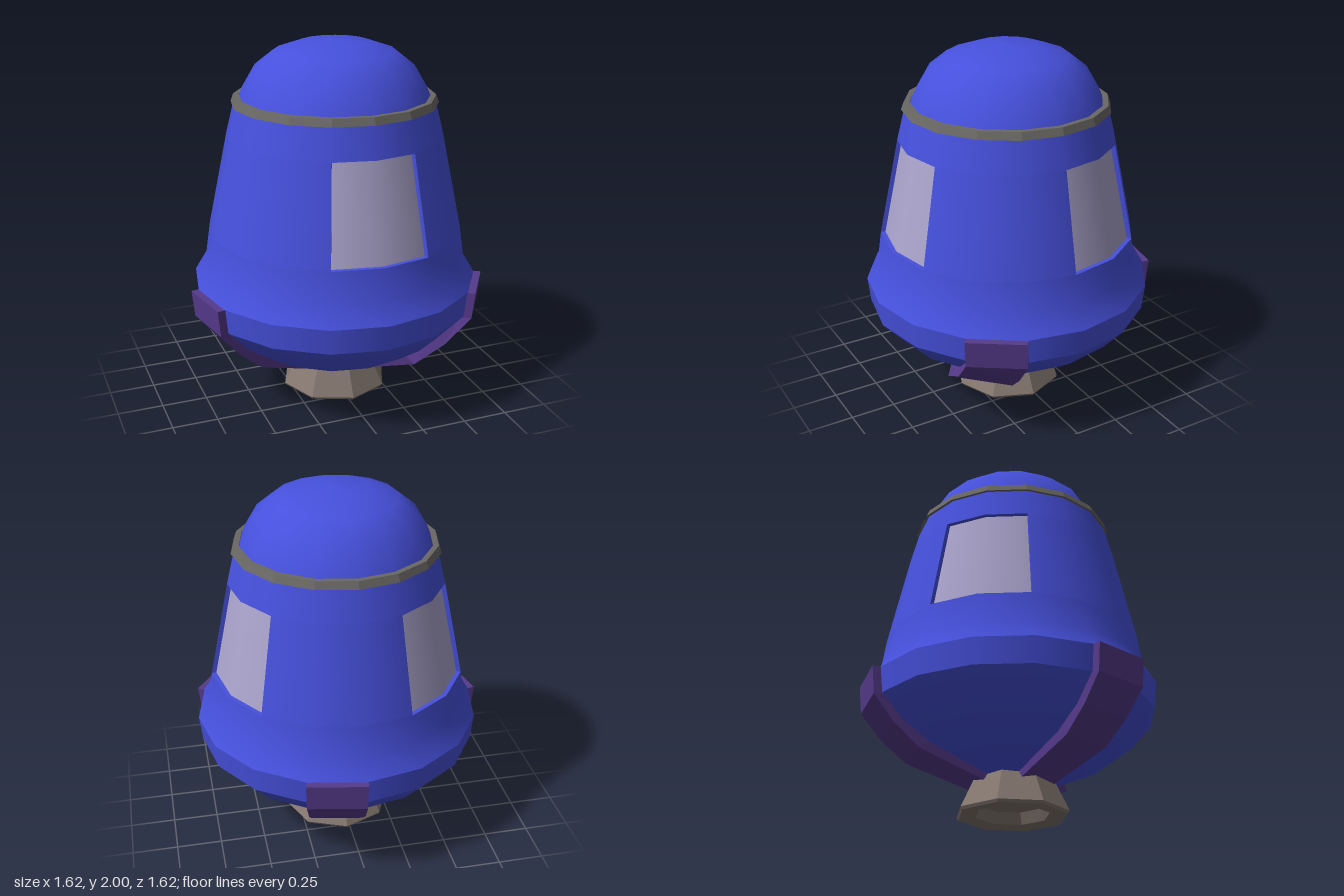
import * as THREE from 'three';

const STEP = Math.PI / 8; // body has 16 sides
const mat = (color, flatShading = false) =>
  new THREE.MeshStandardMaterial({ color, flatShading, side: THREE.DoubleSide });
const blue = mat(0x4650dc);
const purple = mat(0x563a8c, true);
const glass = mat(0xaaa4cc);
const ringMetal = mat(0x6a6864, true);
const baseMetal = mat(0x857870, true);

export function createModel() {
  const model = new THREE.Group();
  const capsule = new THREE.Group();
  capsule.name = 'capsule';
  capsule.position.set(0.02, 0, 0.02);
  model.add(capsule);

  const add = (name, geometry, material) => {
    const mesh = new THREE.Mesh(geometry, material);
    mesh.name = name;
    capsule.add(mesh);
    return mesh;
  };
  // Lathe from a bottom-to-top [radius, y] profile, over a run of body sides
  const lathe = (name, profile, material, first = 0, count = 16, sides = 16) =>
    add(name, new THREE.LatheGeometry(
      profile.map(([r, y]) => new THREE.Vector2(r, y)),
      Math.min(count, sides), first * STEP, count * STEP), material);

  // Hull
  lathe('lowerHull', [[0, 0.165], [0.2, 0.18], [0.52, 0.31], [0.66, 0.41], [0.775, 0.54]], blue);
  lathe('hullBelt', [[0.775, 0.54], [0.79, 0.68]], blue);
  lathe('hullShoulder', [[0.79, 0.68], [0.725, 0.79], [0.7, 0.96]], blue);
  lathe('upperHull', [[0.588, 1.49], [0.54, 1.68]], blue);
  lathe('dome', [[0.52, 1.68], [0.495, 1.74], [0.425, 1.86], [0.33, 1.935], [0.185, 1.985], [0, 2]], blue);
  lathe('domeRing', [[0.52, 1.66], [0.56, 1.66], [0.545, 1.7], [0.515, 1.7], [0.515, 1.68]], ringMetal);

  // Wall sections between the windows
  for (const [first, count] of [[1, 3], [6, 3], [11, 4]]) {
    lathe('hullWall', [[0.7, 0.96], [0.588, 1.49]], blue, first, count);
  }

  // Recessed windows, each two sides wide
  const inset = 0.025;
  const jamb = new THREE.ShapeGeometry(new THREE.Shape([
    [0.7, 0.96], [0.588, 1.49], [0.588 - inset, 1.49], [0.7 - inset, 0.96],
  ].map(([r, y]) => new THREE.Vector2(r, y))));
  for (const first of [-1, 4, 9]) {
    lathe('window', [[0.7 - inset, 0.96], [0.588 - inset, 1.49]], glass, first, 2);
    lathe('windowSill', [[0.7, 0.96], [0.7 - inset, 0.96]], blue, first, 2);
    lathe('windowHead', [[0.588 - inset, 1.49], [0.588, 1.49]], blue, first, 2);
    for (const side of [first, first + 2]) {
      add('windowJamb', jamb, blue).rotation.y = side * STEP - Math.PI / 2;
    }
  }

  // Curved ribs under the hull; rows are [distance, y, half width, azimuth in degrees]
  const rib = (rows) => {
    const pos = [], index = [];
    rows.forEach(([d, y, w, az], i) => {
      const a = THREE.MathUtils.degToRad(az), s = Math.sin(a), c = Math.cos(a);
      const lift = i < 2 ? 0 : 0.05;
      for (const [r, t, h] of [[d, -w, y], [d, w, y], [d - 0.07, w, y + lift], [d - 0.07, -w, y + lift]]) {
        pos.push(r * s + t * c, h, r * c - t * s);
      }
      if (i === 0) return;
      for (let k = 0; k < 4; k++) {
        const n = (k + 1) % 4, u = (i - 1) * 4, l = i * 4;
        index.push(u + k, l + k, l + n, u + k, l + n, u + n);
      }
    });
    const e = (rows.length - 1) * 4;
    index.push(0, 1, 2, 0, 2, 3, e, e + 2, e + 1, e, e + 3, e + 2);
    const g = new THREE.BufferGeometry();
    g.setAttribute('position', new THREE.Float32BufferAttribute(pos, 3));
    g.setIndex(index);
    g.computeVertexNormals();
    add('rib', g, purple);
  };
  for (const az of [168.75, 281.25]) {
    rib([[0.815, 0.68, 0.16, az], [0.8, 0.53, 0.158, az], [0.69, 0.395, 0.15, az],
      [0.55, 0.275, 0.14, az], [0.19, 0.15, 0.11, az]]);
  }
  // The front rib is bent sideways towards its foot
  rib([[0.815, 0.68, 0.16, 56.25], [0.8, 0.53, 0.158, 56.25], [0.68, 0.385, 0.16, 52],
    [0.56, 0.285, 0.18, 45], [0.2, 0.15, 0.11, 45]]);

  // Eight-sided hollow foot nozzle
  lathe('nozzle', [[0, 0.07], [0.17, 0.07], [0.2, 0.01], [0.295, 0], [0.305, 0.015], [0.22, 0.195], [0, 0.195]],
    baseMetal, 0, 16, 8);

  return model;
}
